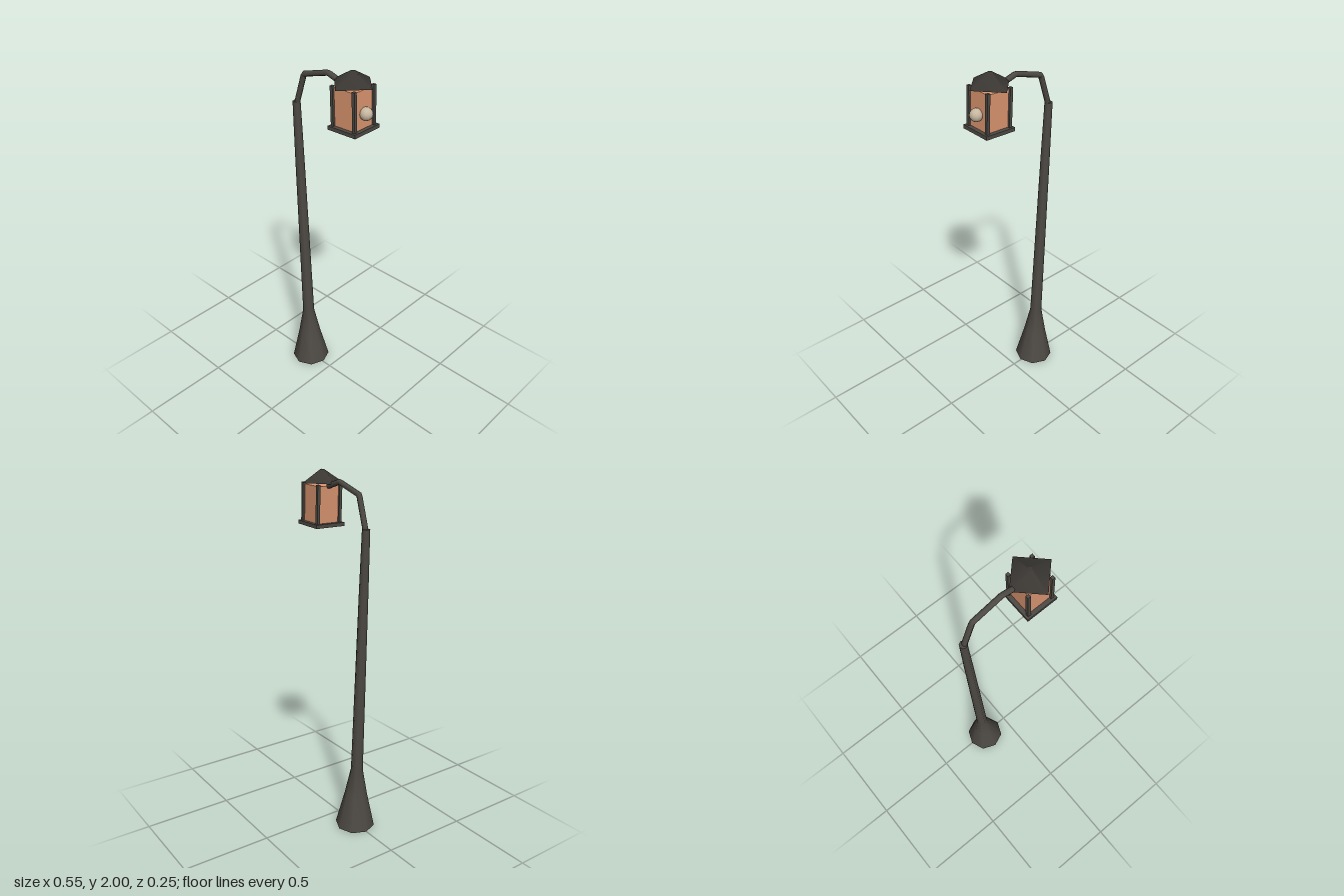
import * as THREE from 'three';

export function createModel() {
  const model = new THREE.Group();
  model.name = 'streetLamp';

  const material = (name, color, side = THREE.FrontSide) => {
    const m = new THREE.MeshStandardMaterial({ color, side });
    m.name = name;
    return m;
  };
  const iron = material('darkIron', 0x4d4943, THREE.DoubleSide);
  const roofIron = material('roofIron', 0x3a3733);
  const glass = material('amberGlass', 0xd9946f);
  const ivory = material('ivoryKnob', 0xc8b8a0);

  const add = (parent, name, geometry, mat, x = 0, y = 0, z = 0) => {
    const mesh = new THREE.Mesh(geometry, mat);
    mesh.name = name;
    mesh.position.set(x, y, z);
    parent.add(mesh);
    return mesh;
  };
  const lean = 0.042;

  // Leaning eight-sided post, flared and open at the foot
  const profile = [[0.112, 0], [0.065, 0.2], [0.034, 0.36], [0.025, 1.4], [0.021, 1.73]]
    .map(([r, y]) => new THREE.Vector2(r, y));
  const post = new THREE.Group();
  post.name = 'post';
  post.position.set(-0.165, 0.005, 0);
  post.rotation.z = lean;
  model.add(post);
  add(post, 'postShaft', new THREE.LatheGeometry(profile, 8), iron);
  add(post, 'postCap', new THREE.CircleGeometry(0.021, 8).rotateX(-Math.PI / 2), iron, 0, 1.73);

  // Bent arm made of straight sections
  const arm = new THREE.CurvePath();
  const bends = [[-0.234, 1.7], [-0.229, 1.74], [-0.178, 1.897], [-0.01, 1.947], [0.09, 1.917]]
    .map(([x, y]) => new THREE.Vector3(x, y, 0));
  for (let i = 1; i < bends.length; i++) arm.add(new THREE.LineCurve3(bends[i - 1], bends[i]));
  add(model, 'arm', new THREE.TubeGeometry(arm, 40, 0.015, 8), iron);

  // Lantern, tilted like the post
  const lantern = new THREE.Group();
  lantern.name = 'lantern';
  lantern.position.set(0.162, 1.705, 0);
  lantern.rotation.z = lean;
  model.add(lantern);
  add(lantern, 'lanternBase', new THREE.BoxGeometry(0.18, 0.02, 0.18), iron, 0, 0.01);
  add(lantern, 'lanternGlass', new THREE.BoxGeometry(0.134, 0.195, 0.134), glass, 0, 0.1175);
  for (const x of [-1, 1]) {
    for (const z of [-1, 1]) {
      add(lantern, 'cornerPost', new THREE.BoxGeometry(0.017, 0.205, 0.017), iron,
        x * 0.07, 0.1225, z * 0.07);
    }
  }

  // Four-sided roof, turned so its corners lie over the panels
  add(lantern, 'roof', new THREE.CylinderGeometry(0.011, 0.123, 0.066, 4), roofIron, 0, 0.262);

  // Round knob on the outer panel
  add(lantern, 'knob', new THREE.SphereGeometry(0.034, 12, 8), ivory, 0.083, 0.099);

  return model;
}
